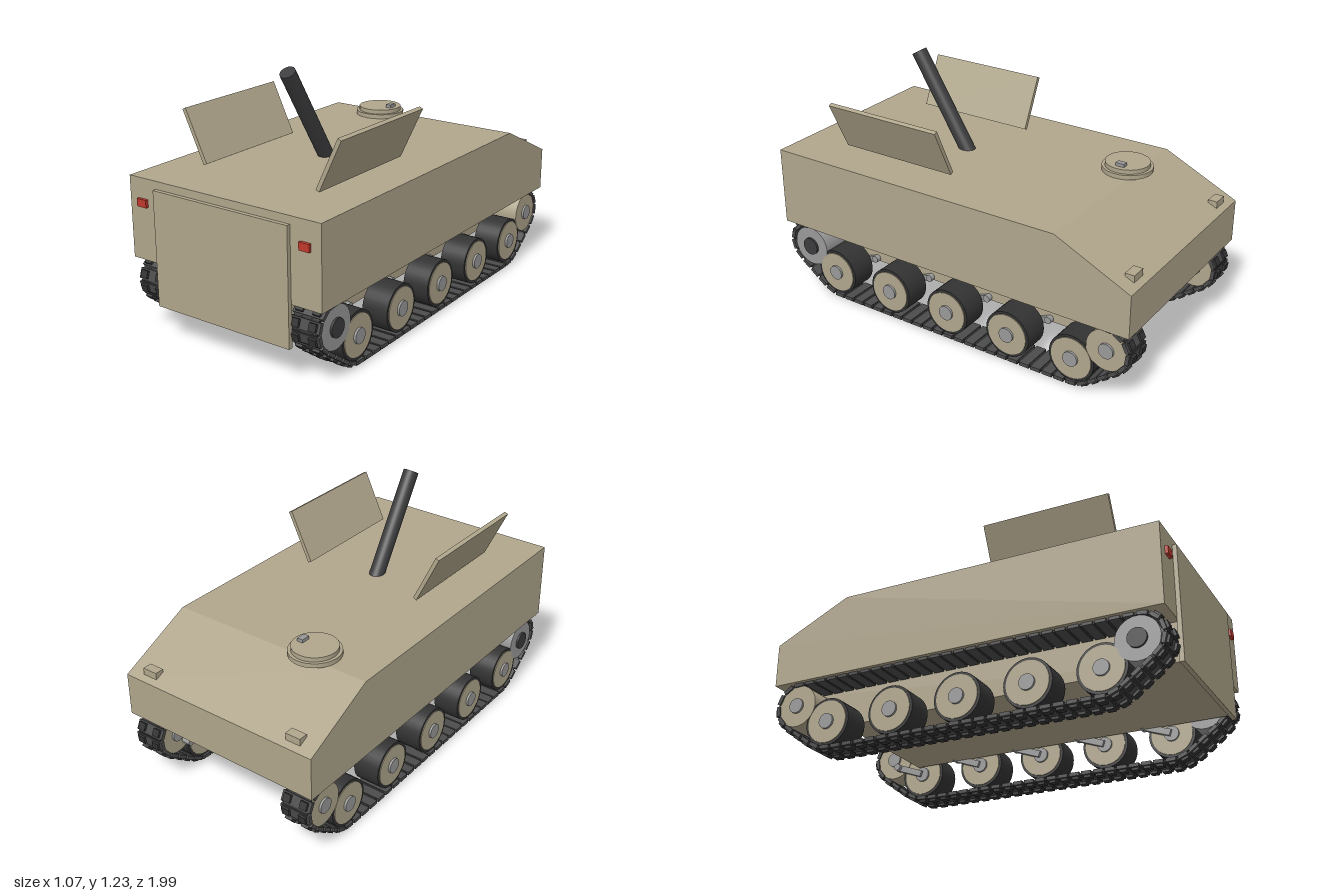
import * as THREE from 'three';
import { mergeGeometries } from 'three/addons/utils/BufferGeometryUtils.js';

const mat = (color) => new THREE.MeshStandardMaterial({ color });
const tan = mat(0xb0a68c);
const steel = mat(0x999999);
const darkSteel = mat(0x4c4c4c);
const rubber = mat(0x333333);
const gunMetal = mat(0x3c3c3e);
const red = mat(0xc0392b);

function add(parent, name, geometry, material, x = 0, y = 0, z = 0) {
  const mesh = new THREE.Mesh(geometry, material);
  mesh.name = name;
  mesh.position.set(x, y, z);
  parent.add(mesh);
  return mesh;
}
const box = (w, h, d) => new THREE.BoxGeometry(w, h, d);
const disc = (r, width) => new THREE.CylinderGeometry(r, r, width, 32).rotateZ(Math.PI / 2);

// Side profile given as [z, y] points, extruded across x
function sideProfile(points, width) {
  const shape = new THREE.Shape(points.map(([z, y]) => new THREE.Vector2(z, y)));
  return new THREE.ExtrudeGeometry(shape, { depth: width, bevelEnabled: false })
    .translate(0, 0, -width / 2).rotateY(-Math.PI / 2);
}

const TRACK_X = 0.436, TRACK_W = 0.157;
const ROAD_Z = [0.685, 0.343, 0, -0.343, -0.685], ROAD_Y = 0.15;
const END_Z = 0.862, END_Y = 0.257;

// Belt path: outline wrapped tightly around the end wheels and outer road wheels
function trackPath() {
  const circles = [
    [END_Z, END_Y, 0.108], [-END_Z, END_Y, 0.108],
    [ROAD_Z[0], ROAD_Y, 0.127], [ROAD_Z[4], ROAD_Y, 0.127],
  ];
  const path = new THREE.CurvePath();
  let first, last;
  for (let i = 0; i < 120; i++) {
    const a = ((i + 0.5) / 120) * Math.PI * 2, c = Math.cos(a), s = Math.sin(a);
    const reach = ([z, y, r]) => z * c + y * s + r;
    const [z, y, r] = circles.reduce((m, k) => (reach(k) > reach(m) ? k : m));
    const p = new THREE.Vector2(z + r * c, y + r * s);
    if (last) path.add(new THREE.LineCurve(last, p));
    else first = p;
    last = p;
  }
  path.add(new THREE.LineCurve(last, first));
  return path;
}

function buildTrack() {
  const track = new THREE.Group();
  track.name = 'track';
  const path = trackPath(), count = 68, pitch = path.getLength() / count;
  const plates = [], pads = [], pins = [];
  for (let i = 0; i < count; i++) {
    const a = path.getPointAt(i / count), b = path.getPointAt(((i + 1) % count) / count);
    const angle = Math.atan2(b.y - a.y, b.x - a.x);
    // local +z runs along the belt, local -y points outward
    const place = (g) => g.rotateX(-angle).translate(0, (a.y + b.y) / 2, (a.x + b.x) / 2);
    plates.push(place(box(TRACK_W, 0.018, pitch * 0.8)));
    pins.push(place(box(TRACK_W * 0.85, 0.009, pitch * 1.05)));
    for (const s of [-1, 1]) pads.push(place(box(0.038, 0.014, pitch * 0.58).translate(s * 0.045, -0.014, 0)));
  }
  add(track, 'trackLinks', mergeGeometries(plates), darkSteel);
  add(track, 'trackPins', mergeGeometries(pins), rubber);
  add(track, 'trackPads', mergeGeometries(pads), rubber);
  return track;
}

function buildWheel(name, z, y, rimMaterial, faceMaterial, hubMaterial, rimRadius, hubRadius) {
  const wheel = new THREE.Group();
  wheel.name = name;
  wheel.position.set(0, y, z);
  add(wheel, 'rim', disc(rimRadius, 0.134), rimMaterial);
  add(wheel, 'wheelFace', disc(0.103, 0.142), faceMaterial);
  add(wheel, 'hub', disc(hubRadius, 0.164), hubMaterial);
  return wheel;
}

function buildRunningGear() {
  const gear = new THREE.Group();
  gear.name = 'runningGear';
  gear.add(buildTrack());
  for (const z of ROAD_Z) gear.add(buildWheel('roadWheel', z, ROAD_Y, rubber, tan, steel, 0.116, 0.037));
  gear.add(buildWheel('rearSprocket', END_Z - 0.015, END_Y - 0.005, steel, steel, gunMetal, 0.103, 0.045));
  gear.add(buildWheel('frontIdler', -END_Z, END_Y, tan, tan, steel, 0.103, 0.037));
  return gear;
}

// Swing arms joining each wheel to the lower hull
function buildArm(z, y) {
  const arm = new THREE.Group();
  arm.name = 'suspensionArm';
  const dz = -0.135, dy = 0.05;
  const bar = add(arm, 'armBar', box(0.022, 0.032, Math.hypot(dz, dy)), steel, 0.35, y + dy / 2, z + dz / 2);
  bar.rotation.x = Math.atan2(-dy, dz) + Math.PI;
  add(arm, 'armPivot', disc(0.018, 0.05), steel, 0.345, y + dy, z + dz);
  return arm;
}

export function createModel() {
  const model = new THREE.Group();
  model.name = 'trackedCarrier';

  // Hull
  add(model, 'upperHull', sideProfile(
    [[0.98, 0.37], [0.98, 0.762], [-0.6, 0.762], [-0.98, 0.583], [-0.98, 0.37]], 1.068), tan);
  add(model, 'lowerHull', sideProfile(
    [[0.97, 0.185], [0.97, 0.375], [-0.94, 0.375], [-0.7, 0.185]], 0.69), tan);
  add(model, 'rearRamp', box(0.75, 0.553, 0.022), tan, 0, 0.448, 0.989);

  // Both sides: running gear, lights and folding top doors
  for (const s of [-1, 1]) {
    const gear = buildRunningGear();
    gear.position.x = s * TRACK_X;
    model.add(gear);

    const arms = new THREE.Group();
    arms.name = 'suspensionArms';
    for (const z of ROAD_Z) arms.add(buildArm(z, ROAD_Y));
    arms.add(buildArm(END_Z - 0.01, END_Y));
    if (s < 0) arms.rotation.y = 0;
    for (const part of arms.children) for (const mesh of part.children) mesh.position.x *= s;
    model.add(arms);

    add(model, 'tailLight', box(0.054, 0.037, 0.018), red, s * 0.455, 0.647, 0.986);
    add(model, 'headlight', box(0.078, 0.034, 0.046), tan, s * 0.415, 0.615, -0.927);

    const door = add(model, 'roofDoor', box(0.02, 0.272, 0.63), tan, s * 0.376, 0.904, 0.405);
    door.rotation.z = -s * 0.443;
  }

  // Mortar barrel, tilted toward the rear ramp
  const barrel = add(model, 'mortarBarrel',
    new THREE.CylinderGeometry(0.038, 0.038, 0.58, 24), gunMetal, 0, 0.965, 0.357);
  barrel.rotation.x = Math.atan2(0.28, 0.45);

  // Round crew hatch
  const hatch = new THREE.Group();
  hatch.name = 'crewHatch';
  hatch.position.set(-0.22, 0.762, -0.548);
  add(hatch, 'hatchRing', new THREE.CylinderGeometry(0.124, 0.124, 0.022, 32), tan, 0, 0.011, 0);
  add(hatch, 'hatchLid', new THREE.CylinderGeometry(0.109, 0.109, 0.022, 32), tan, 0, 0.032, 0);
  add(hatch, 'hatchHandle', box(0.03, 0.018, 0.045), steel, 0.067, 0.05, 0);
  model.add(hatch);

  return model;
}
